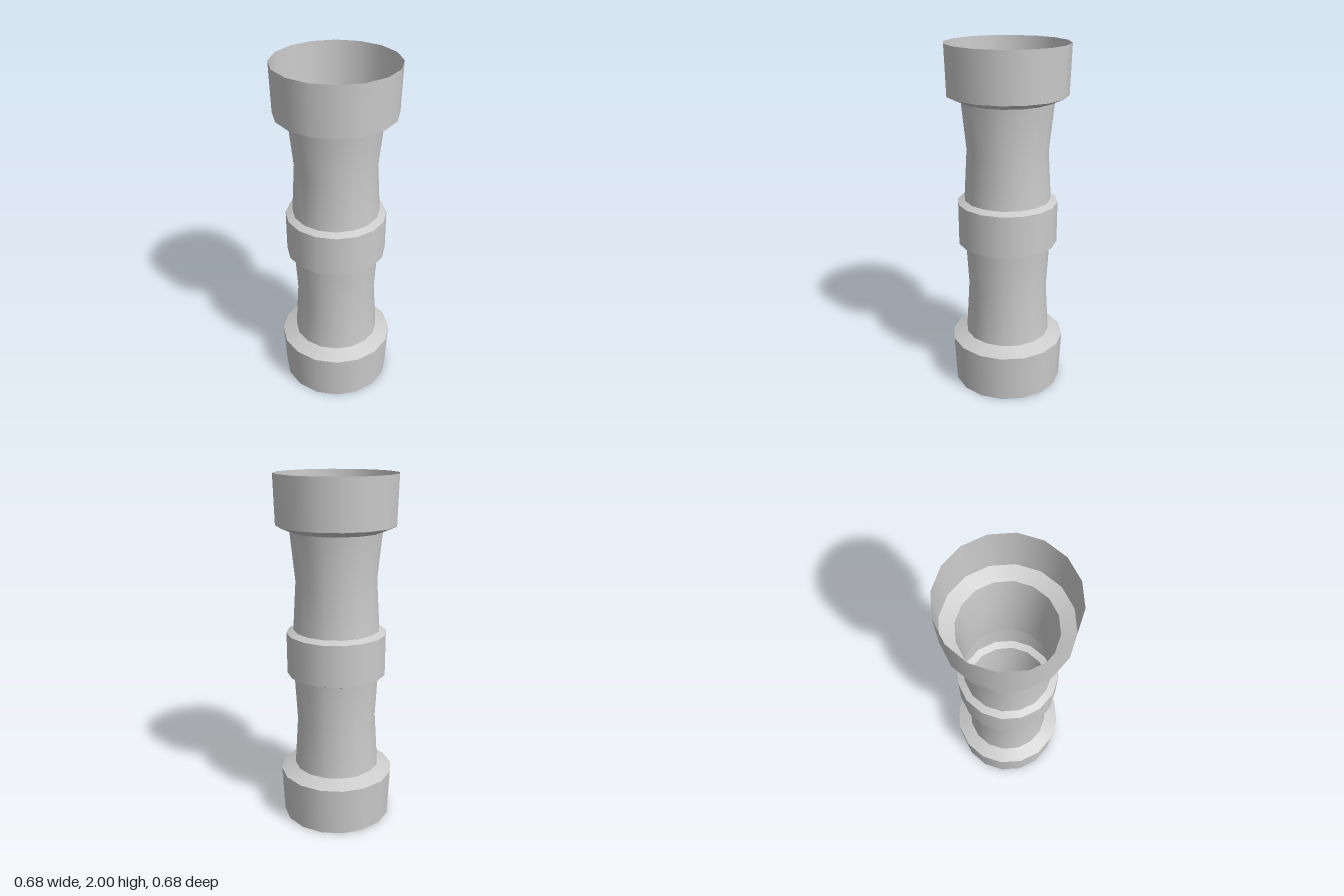
import * as THREE from 'three';

const SIDES = 16;

// Open bands of the hollow column, each a [radius, height] profile from bottom to top.
// Separate bands keep the edges between them sharp.
const BANDS = [
  ['baseSocket', [[0.317, 0], [0.33, 0.278]]],
  ['baseShoulder', [[0.33, 0.278], [0.247, 0.315]]],
  ['lowerShaft', [[0.247, 0.315], [0.229, 0.6], [0.244, 0.87]]],
  ['collarLowerBevel', [[0.244, 0.87], [0.284, 0.886]]],
  ['collarBand', [[0.284, 0.886], [0.285, 1.125]]],
  ['collarUpperBevel', [[0.285, 1.125], [0.246, 1.143]]],
  ['upperShaft', [[0.246, 1.143], [0.229, 1.42], [0.257, 1.695]]],
  ['topShoulder', [[0.257, 1.695], [0.333, 1.728]]],
  ['topSocket', [[0.333, 1.728], [0.341, 2]]],
];

export function createModel() {
  const group = new THREE.Group();
  group.name = 'hollowColumn';
  const material = new THREE.MeshStandardMaterial({ color: 0xcccccc, side: THREE.DoubleSide });

  for (const [name, profile] of BANDS) {
    const points = profile.map(([r, y]) => new THREE.Vector2(r, y));
    const mesh = new THREE.Mesh(new THREE.LatheGeometry(points, SIDES), material);
    mesh.name = name;
    group.add(mesh);
  }
  return group;
}
